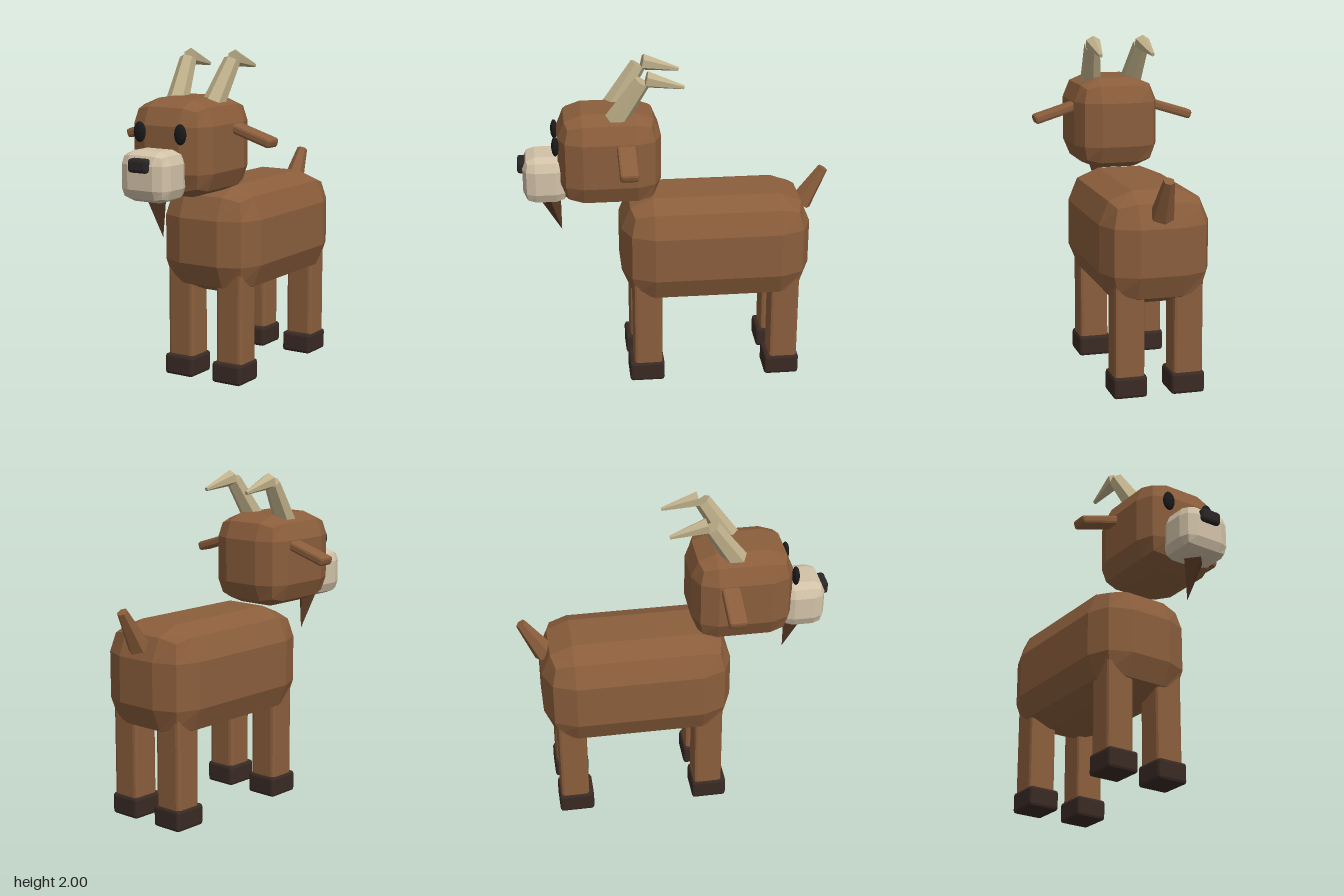
import * as THREE from 'three';
import { RoundedBoxGeometry } from 'three/addons/geometries/RoundedBoxGeometry.js';

const paint = (color) => new THREE.MeshStandardMaterial({ color, flatShading: true });

export function createModel() {
  const goat = new THREE.Group();
  goat.name = 'goat';
  const fur = paint(0x8b5e3c), darkFur = paint(0x5a3a25), hoofMat = paint(0x3a2a24);
  const cream = paint(0xd2c2a8), hornMat = paint(0xbfb08a), black = paint(0x1a1a1a), noseMat = paint(0x2a2626);

  const add = (name, geometry, material) => {
    const mesh = new THREE.Mesh(geometry, material);
    mesh.name = name;
    goat.add(mesh);
    return mesh;
  };

  // Chamfered block given by its size and centre
  const block = (name, [w, h, d], [x, y, z], radius, material) => {
    const mesh = add(name, new RoundedBoxGeometry(w, h, d, 1, radius), material);
    mesh.position.set(x, y, z);
    return mesh;
  };

  // Tapered prism running from one point to another
  const taper = (name, from, to, r0, r1, sides, material) => {
    const a = new THREE.Vector3(...from), b = new THREE.Vector3(...to);
    const dir = b.clone().sub(a);
    const mesh = add(name, new THREE.CylinderGeometry(r1, r0, dir.length(), sides), material);
    mesh.position.copy(a).add(b).multiplyScalar(0.5);
    mesh.quaternion.setFromUnitVectors(new THREE.Vector3(0, 1, 0), dir.normalize());
    return mesh;
  };

  // Body, head and face
  block('body', [0.65, 0.66, 1.15], [0, 0.86, -0.24], 0.192, fur);
  block('head', [0.524, 0.56, 0.61], [0, 1.455, 0.395], 0.145, fur);
  block('muzzle', [0.32, 0.29, 0.27], [0, 1.32, 0.775], 0.075, cream);
  block('nose', [0.13, 0.08, 0.09], [0, 1.39, 0.895], 0.018, noseMat);
  taper('beard', [0, 1.2, 0.758], [0, 0.95, 0.687], 0.073, 0, 4, darkFur);
  taper('tail', [0, 1.065, -0.78], [0, 1.288, -0.912], 0.07, 0.033, 6, fur);

  for (const side of [1, -1]) {
    const label = side > 0 ? 'left' : 'right';

    // Eye
    const eye = add(label + 'Eye', new THREE.SphereGeometry(1, 12, 8), black);
    eye.scale.set(0.04, 0.06, 0.022);
    eye.position.set(side * 0.14, 1.552, 0.713);

    // Drooping ear
    const ear = block(label + 'Ear', [0.3, 0.056, 0.11], [side * 0.36, 1.526, 0.302], 0.016, fur);
    ear.rotation.z = -side * 0.3;

    // Horn: thick lower piece and a tip swept back
    taper(label + 'HornBase', [side * 0.123, 1.66, 0.38], [side * 0.155, 1.938, 0.2], 0.07, 0.05, 6, hornMat);
    taper(label + 'HornTip', [side * 0.155, 1.952, 0.178], [side * 0.161, 1.897, -0.042], 0.05, 0.012, 6, hornMat);

    // Legs and hooves
    for (const [place, z] of [['Front', 0.185], ['Hind', -0.658]]) {
      block(label + place + 'Leg', [0.177, 0.72, 0.175], [side * 0.174, 0.37, z], 0.02, fur);
      block(label + place + 'Hoof', [0.2, 0.13, 0.215], [side * 0.172, 0.065, z + 0.008], 0.018, hoofMat);
    }
  }
  return goat;
}
